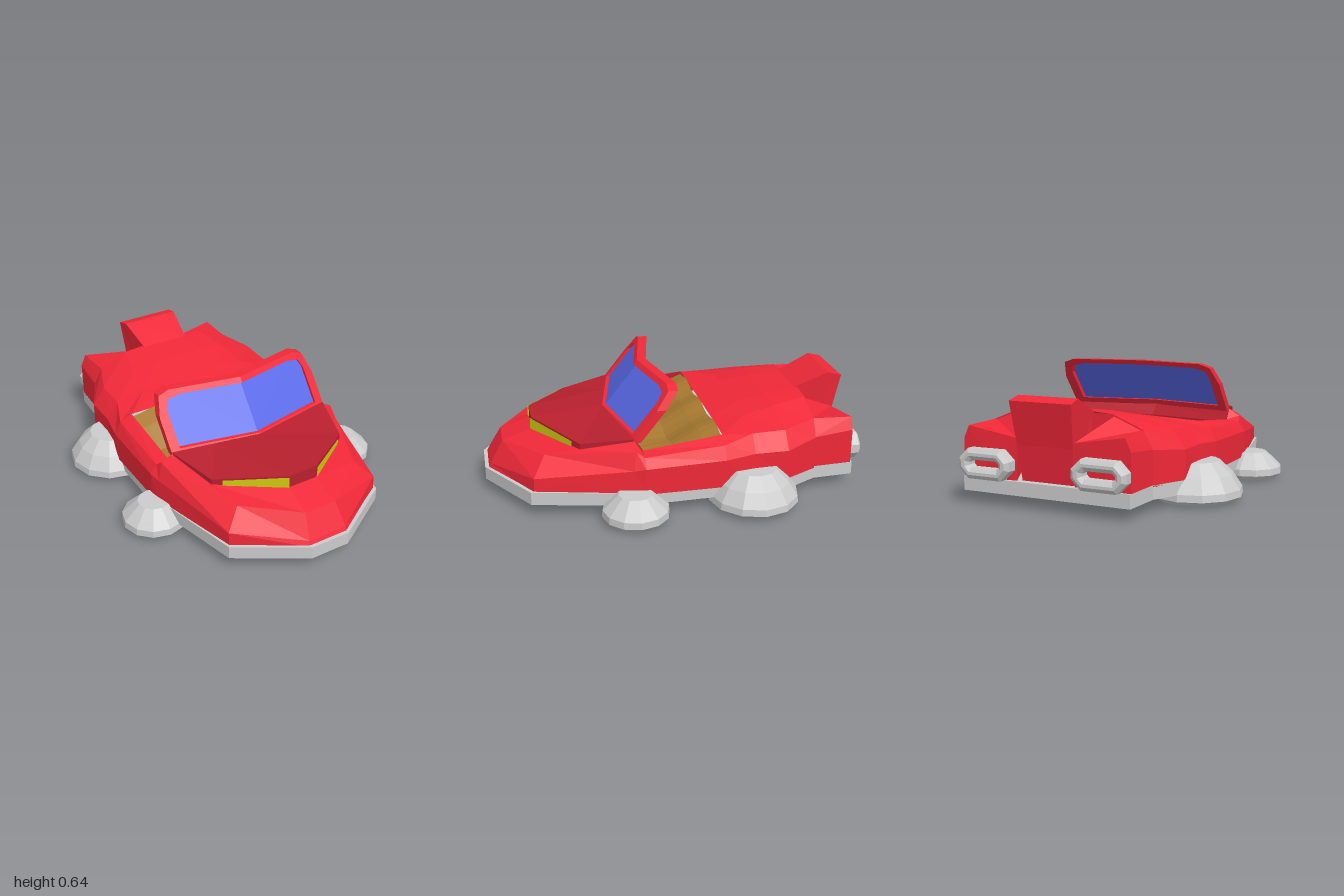
import * as THREE from 'three';

const paint = (color) => new THREE.MeshStandardMaterial({ color, flatShading: true, side: THREE.DoubleSide });
const red = paint(0xf02838), darkRed = paint(0xb8202e), grey = paint(0xcccccc);
const brown = paint(0xa87a30), yellow = paint(0xd2cc10), blue = paint(0x5a6ae8);

// Surface through rows of [x, y, z] points, all rows the same length
function loft(rows) {
  const pos = [];
  for (let i = 0; i < rows.length - 1; i++) {
    for (let j = 0; j < rows[i].length - 1; j++) {
      const a = rows[i][j], b = rows[i][j + 1], c = rows[i + 1][j + 1], d = rows[i + 1][j];
      pos.push(...a, ...b, ...c, ...a, ...c, ...d);
    }
  }
  const g = new THREE.BufferGeometry();
  g.setAttribute('position', new THREE.Float32BufferAttribute(pos, 3));
  g.computeVertexNormals();
  return g;
}

// Left half row continued by its mirror image
const mirrorRow = (row) => [...row, ...row.slice().reverse().map(([x, y, z]) => [-x, y, z])];

const shapeOf = (pts) => new THREE.Shape(pts.map(([x, y]) => new THREE.Vector2(x, y)));

function roundedRect(Target, w, h, c) {
  const x = w / 2, y = h / 2;
  return new Target([[x, -y + c], [x, y - c], [x - c, y], [c - x, y], [-x, y - c], [-x, c - y], [c - x, -y], [x - c, -y]]
    .map(([px, py]) => new THREE.Vector2(px, py)));
}

export function createModel() {
  const group = new THREE.Group();
  const add = (name, geometry, material) => {
    const mesh = new THREE.Mesh(geometry, material);
    mesh.name = name;
    group.add(mesh);
    return mesh;
  };
  const addPair = (name, geometry, material) => {
    add(name + 'Left', geometry, material);
    add(name + 'Right', geometry, material).scale.x = -1;
  };

  // Lower skirt and floor
  const plan = [[0.46, -0.95], [0.47, -0.73], [0.56, -0.55], [0.57, -0.37], [0.58, 0.26], [0.46, 0.785], [0.11, 1]];
  const outline = [...plan, ...plan.slice().reverse().map(([x, z]) => [-x, z])];
  const skirt = new THREE.ExtrudeGeometry(shapeOf(outline), { depth: 0.07, bevelEnabled: false });
  skirt.rotateX(Math.PI / 2).translate(0, 0.13, 0);
  add('skirt', skirt, grey);

  // Body shell: stations from the back to the nose, each from sill to inner edge
  const stations = [
    [[0.47, 0.12, -0.73], [0.47, 0.30, -0.73], [0.42, 0.39, -0.73], [0.26, 0.455, -0.73]],
    [[0.56, 0.12, -0.55], [0.56, 0.28, -0.55], [0.49, 0.37, -0.55], [0.30, 0.43, -0.54]],
    [[0.565, 0.12, -0.37], [0.56, 0.28, -0.37], [0.49, 0.365, -0.37], [0.32, 0.40, -0.37]],
    [[0.585, 0.12, -0.21], [0.585, 0.27, -0.21], [0.55, 0.34, -0.21], [0.48, 0.37, -0.21]],
    [[0.585, 0.12, 0.21], [0.585, 0.26, 0.21], [0.55, 0.31, 0.21], [0.48, 0.32, 0.21]],
    [[0.575, 0.12, 0.27], [0.57, 0.25, 0.27], [0.54, 0.34, 0.25], [0.48, 0.375, 0.25]],
    [[0.45, 0.12, 0.77], [0.45, 0.20, 0.765], [0.36, 0.29, 0.70], [0.40, 0.32, 0.52]],
    [[0.11, 0.12, 0.985], [0.11, 0.15, 0.97], [0.09, 0.27, 0.90], [0.08, 0.32, 0.74]],
  ];
  add('bodyShell', loft([0, 1, 2, 3].map((k) => mirrorRow(stations.map((s) => s[k])))), red);

  // Rear deck and its back wall
  const crown = [0.465, 0.445, 0.41, 0.375];
  add('rearDeck', loft(crown.map((y, i) => {
    const [x, yi, z] = stations[i][3];
    return mirrorRow([[x, yi, z], [x * 0.5, y, z]]);
  })), red);
  add('rearWall', loft([mirrorRow(stations[0]), mirrorRow(stations[0].map(([x, , z]) => [x, 0.12, z]))]), red);

  // Hood, overhanging the lights
  const hoodEdge = [[0.48, 0.385, 0.25], [0.40, 0.35, 0.52], [0.08, 0.388, 0.74]];
  add('hood', loft([
    mirrorRow(hoodEdge),
    mirrorRow([[0.48, 0.385, 0.25], [0.24, 0.388, 0.30], [0, 0.39, 0.34]]),
  ]), darkRed);
  add('hoodWall', loft([mirrorRow(hoodEdge), mirrorRow(stations.slice(5).map((s) => s[3]))]), darkRed);
  addPair('headlight', loft([
    [[0.085, 0.322, 0.747], [0.36, 0.322, 0.558]],
    [[0.085, 0.384, 0.747], [0.36, 0.352, 0.558]],
  ]), yellow);

  // Windshield: half outlines leaned back and swept from the centre line
  const lean = (g) => {
    const p = g.attributes.position;
    for (let i = 0; i < p.count; i++) {
      const x = p.getX(i), y = p.getY(i);
      p.setZ(i, p.getZ(i) + 0.25 - (y - 0.38) * 0.8 + 0.1 * (1 - x / 0.48));
    }
    g.computeVertexNormals();
    return g;
  };
  const pane = [[0, 0.615], [0.34, 0.615], [0.41, 0.60], [0.43, 0.56], [0.43, 0.395], [0, 0.395]];
  const frame = shapeOf([[0, 0.365], [0.48, 0.365], [0.48, 0.53], [0.45, 0.62], [0.39, 0.64], [0, 0.64], ...pane]);
  addPair('windshieldFrame', lean(new THREE.ExtrudeGeometry(frame, { depth: 0.05, bevelEnabled: false }).translate(0, 0, -0.045)), red);
  addPair('windshieldGlass', lean(new THREE.ShapeGeometry(shapeOf(pane)).translate(0, 0, -0.015)), blue);

  // Cockpit: dashboard, side linings and rippled seat
  add('dashboard', loft([
    mirrorRow([[0.48, 0.38, 0.25], [0, 0.385, 0.33]]),
    mirrorRow([[0.48, 0.31, 0.20], [0, 0.31, 0.26]]),
    mirrorRow([[0.48, 0.20, 0.20], [0, 0.20, 0.26]]),
  ]), darkRed);
  addPair('cockpitLining', loft([
    [[0.48, 0.37, -0.21], [0.48, 0.32, 0.21], [0.48, 0.38, 0.25]],
    [[0.48, 0.20, -0.21], [0.48, 0.20, 0.21], [0.48, 0.20, 0.25]],
  ]), darkRed);
  const seatRows = [[0.365, -0.21], [0.33, -0.12], [0.25, 0.02], [0.23, 0.27]].map(([y, z], r) => {
    const row = [];
    for (let i = 0; i <= 18; i++) {
      const x = -0.48 + (0.96 * i) / 18;
      row.push([x, y + (r < 3 ? 0.012 * Math.cos((x * 6 * Math.PI) / 0.96) : 0), z]);
    }
    return row;
  });
  add('seat', loft(seatRows), brown);

  // Rear engine housings with closed back ends
  const close = (ring) => [...ring, ring[0]];
  const housingFront = [[0.47, 0.12, -0.72], [0.47, 0.30, -0.72], [0.42, 0.39, -0.72], [0.27, 0.45, -0.72], [0.27, 0.12, -0.72]];
  const housingBack = [[0.46, 0.12, -0.94], [0.46, 0.32, -0.94], [0.43, 0.385, -0.94], [0.16, 0.34, -0.93], [0.16, 0.12, -0.93]];
  addPair('engineHousing', loft([
    close(housingFront), close(housingBack), close(housingBack.map(() => [0.31, 0.22, -0.94])),
  ]), red);

  // Exhaust rings
  const ring = roundedRect(THREE.Shape, 0.25, 0.11, 0.04);
  ring.holes.push(roundedRect(THREE.Path, 0.21, 0.08, 0.025));
  const exhaust = new THREE.ExtrudeGeometry(ring, {
    depth: 0.06, bevelEnabled: true, bevelSize: 0.02, bevelThickness: 0.015, bevelSegments: 1,
  }).translate(0.315, 0.205, -0.985);
  addPair('exhaustRing', exhaust, grey);

  // Rear spoiler, flaring towards its top back edge: [y, z, half width]
  const fin = [[0.12, -0.71, 0.14], [0.462, -0.71, 0.14], [0.545, -0.90, 0.165], [0.525, -0.975, 0.17], [0.31, -0.935, 0.155], [0.12, -0.91, 0.14], [0.12, -0.71, 0.14]];
  add('spoiler', loft([
    fin.map(() => [0.14, 0.3, -0.82]),
    fin.map(([y, z, w]) => [w, y, z]),
    fin.map(([y, z, w]) => [-w, y, z]),
    fin.map(() => [-0.14, 0.3, -0.82]),
  ]), red);

  // Hover pods: faceted domes with a hollow underside
  const pod = (r, h) => new THREE.LatheGeometry([
    [0, 0.04], [0.68, 0.04], [0.74, 0], [0.8, 0], [1, 0.03], [0.98, 0.065], [0.78, 0.68 * h], [0.5, h], [0, h],
  ].map(([k, y]) => new THREE.Vector2(k * r, y)), 12);
  addPair('frontPod', pod(0.175, 0.145).translate(0.602, 0, 0.27), grey);
  addPair('rearPod', pod(0.24, 0.2).translate(0.54, 0, -0.37), grey);

  return group;
}
